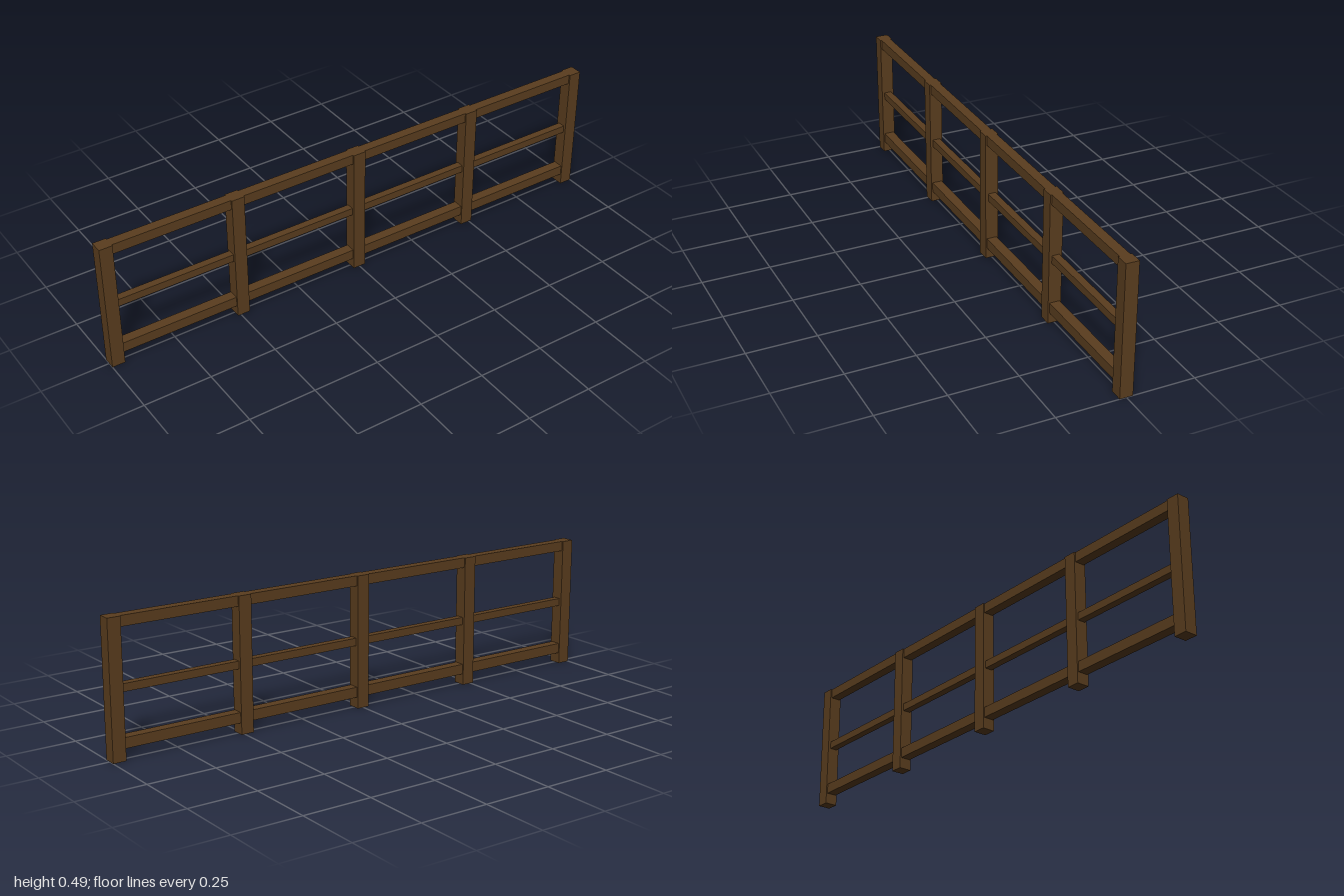
import * as THREE from 'three';

export function createModel() {
  const group = new THREE.Group();
  group.name = 'fence';
  const wood = new THREE.MeshStandardMaterial({ color: 0x5a3d1e, flatShading: true });

  const addBox = (name, w, h, d, x, y) => {
    const mesh = new THREE.Mesh(new THREE.BoxGeometry(w, h, d), wood);
    mesh.name = name;
    mesh.position.set(x, y, 0);
    group.add(mesh);
  };

  const postCount = 5;
  const postSize = 0.048;
  const height = 0.488;
  const spacing = (2 - postSize) / (postCount - 1);

  // Upright square posts
  for (let i = 0; i < postCount; i++) {
    addBox(`post${i + 1}`, postSize, height, postSize, -1 + postSize / 2 + i * spacing, height / 2);
  }

  // Three horizontal rails spanning each bay between neighbouring posts
  const rails = [
    { name: 'topRail', size: 0.037, y: height - 0.0185 },
    { name: 'middleRail', size: 0.028, y: 0.246 },
    { name: 'bottomRail', size: 0.038, y: 0.06 },
  ];
  for (let i = 0; i < postCount - 1; i++) {
    const x = -1 + postSize / 2 + (i + 0.5) * spacing;
    for (const { name, size, y } of rails) {
      addBox(`${name}${i + 1}`, spacing - postSize, size, size, x, y);
    }
  }

  return group;
}
